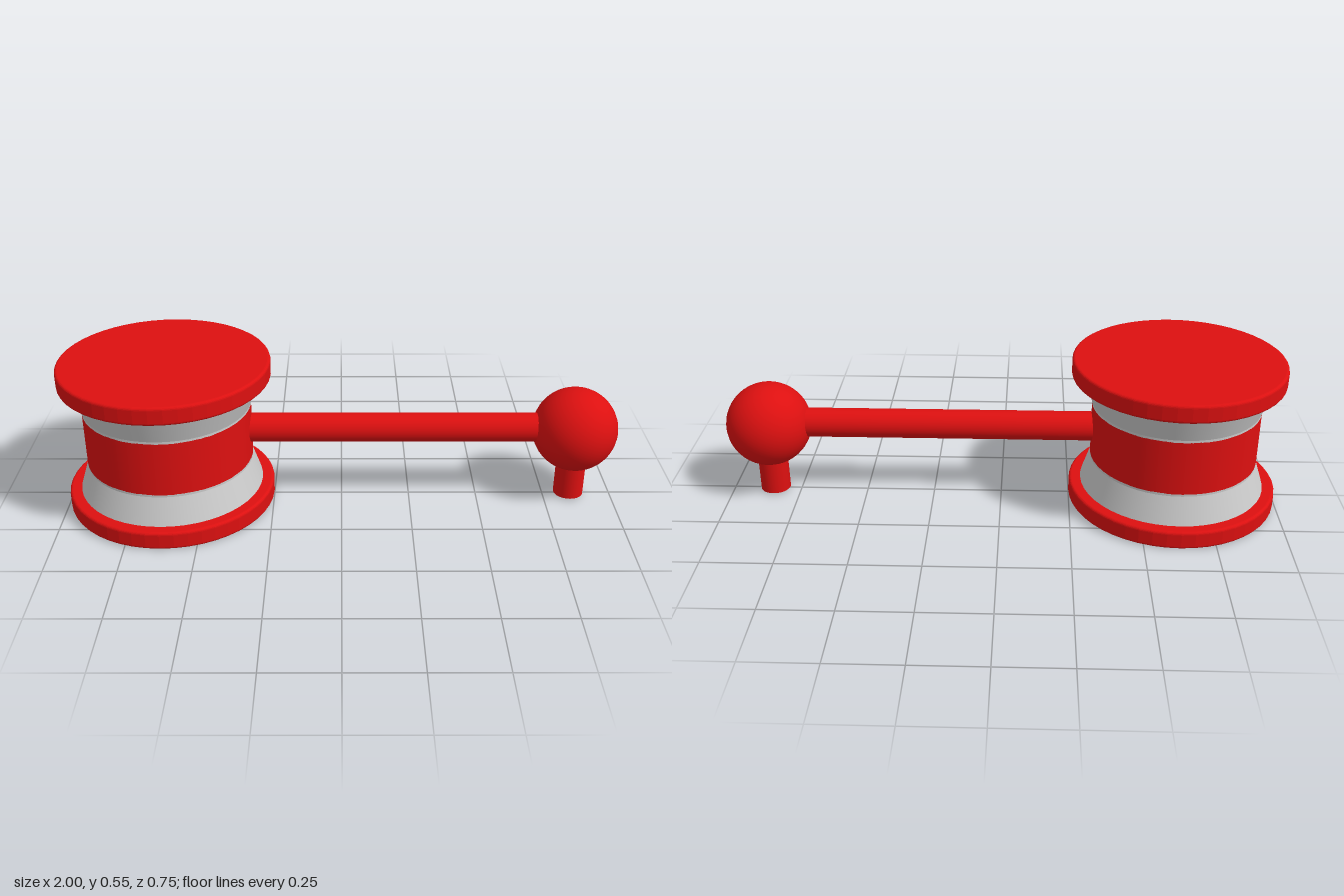
import * as THREE from 'three';

const RED = new THREE.MeshStandardMaterial({ color: 0xdd1010 });
const GREY = new THREE.MeshStandardMaterial({ color: 0xcccccc });
const SPOOL_X = -0.625, BALL_X = 0.847, MID_Y = 0.273;

function add(parent, name, geometry, material, x, y, z = 0) {
  const mesh = new THREE.Mesh(geometry, material);
  mesh.name = name;
  mesh.position.set(x, y, z);
  parent.add(mesh);
  return mesh;
}

// Closed disc with a softly rounded rim, centred on its own middle
function roundedDisc(radius, height, bevel) {
  const shape = new THREE.Shape();
  const r = radius - bevel;
  shape.absarc(0, 0, r, 0, Math.PI * 2);
  const geometry = new THREE.ExtrudeGeometry(shape, {
    depth: height - 2 * bevel, bevelSize: bevel, bevelThickness: bevel,
    bevelSegments: 4, curveSegments: 24,
  });
  geometry.translate(0, 0, -(height - 2 * bevel) / 2);
  geometry.rotateX(-Math.PI / 2);
  return geometry;
}

export function createModel() {
  const group = new THREE.Group();

  // Spool: central band with a mirrored flared collar and flange at each end
  const spool = new THREE.Group();
  spool.name = 'spool';
  spool.position.set(SPOOL_X, MID_Y, 0);
  group.add(spool);
  add(spool, 'band', new THREE.CylinderGeometry(0.3, 0.3, 0.2, 48), RED, 0, 0);
  for (const [end, s] of [['top', 1], ['bottom', -1]]) {
    const [rTop, rBottom] = s > 0 ? [0.333, 0.3] : [0.3, 0.333];
    add(spool, end + 'Collar', new THREE.CylinderGeometry(rTop, rBottom, 0.1, 48), GREY, 0, s * 0.158);
    add(spool, end + 'Neck', new THREE.CylinderGeometry(0.3, 0.3, 0.01, 48), GREY, 0, s * 0.104);
    add(spool, end + 'Flange', roundedDisc(0.375, 0.066, 0.01), RED, 0, s * 0.24);
  }

  // Arm from the band to the ball
  const armStart = SPOOL_X + 0.28, armLength = BALL_X - 0.08 - armStart;
  const arm = add(group, 'arm', new THREE.CylinderGeometry(0.053, 0.053, armLength, 32), RED,
    armStart + armLength / 2, 0.277);
  arm.rotation.z = Math.PI / 2;

  // Ball handle and the peg below it
  add(group, 'ball', new THREE.SphereGeometry(0.153, 40, 28), RED, BALL_X, MID_Y - 0.003);
  add(group, 'peg', new THREE.CylinderGeometry(0.054, 0.054, 0.2, 32), RED, BALL_X, 0.104);

  return group;
}
